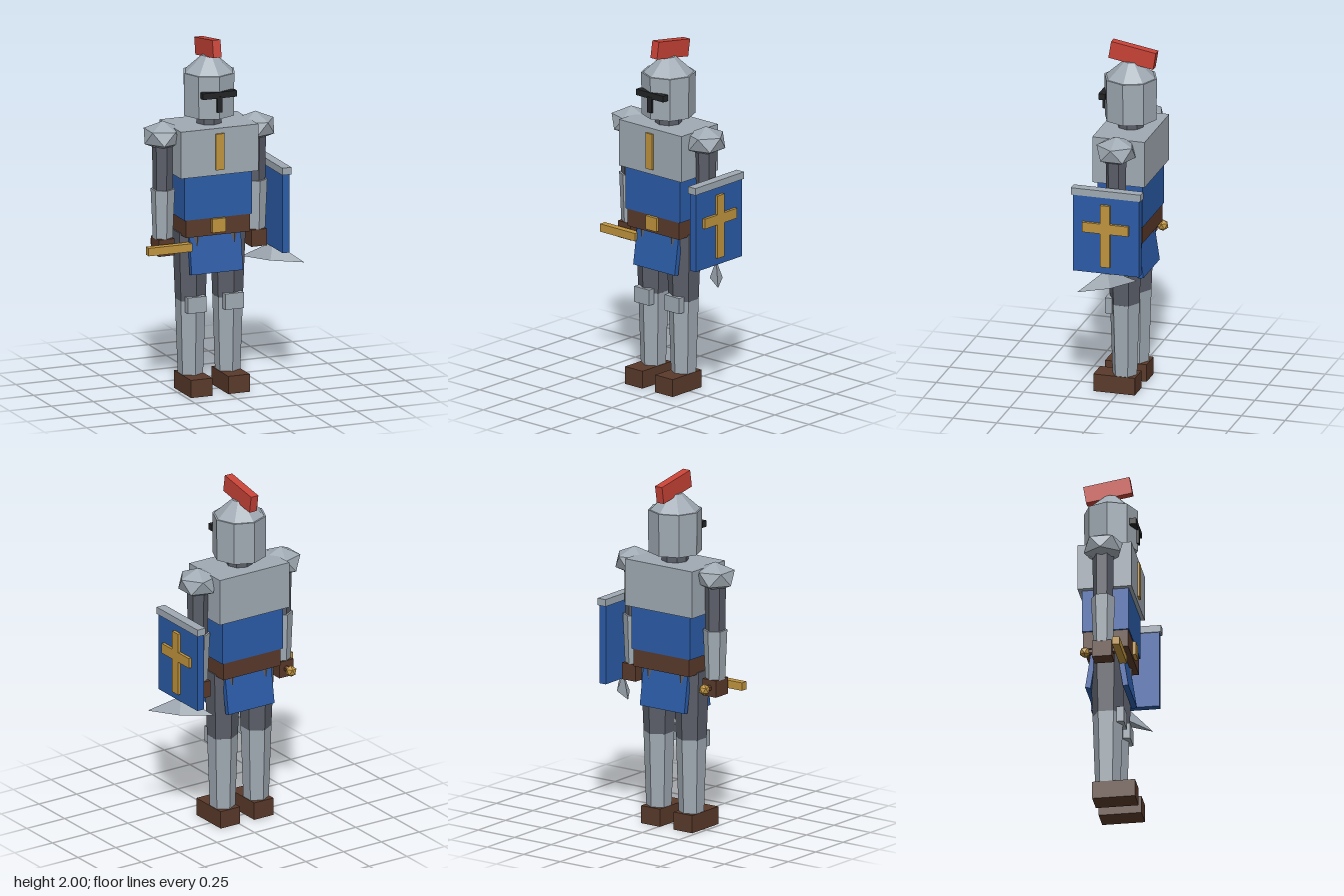
import * as THREE from 'three';

const mat = (name, color) => {
  const m = new THREE.MeshStandardMaterial({ color, flatShading: true });
  m.name = name;
  return m;
};

export function createModel() {
  const steel = mat('steel', 0xa0aab3);
  const darkSteel = mat('dark steel', 0x5a5e68);
  const blue = mat('blue cloth', 0x2b5ca8);
  const gold = mat('gold', 0xc0943e);
  const brown = mat('brown leather', 0x5a3a2b);
  const red = mat('red plume', 0xc84337);
  const black = mat('black slit', 0x222324);

  const model = new THREE.Group();
  model.name = 'knight';
  const CX = -0.053, CZ = -0.022; // axis of the body

  const add = (name, geometry, material, x, y, z) => {
    const mesh = new THREE.Mesh(geometry, material);
    mesh.name = name;
    mesh.position.set(x, y, z);
    model.add(mesh);
    return mesh;
  };
  const box = (name, material, w, h, d, x, y, z) =>
    add(name, new THREE.BoxGeometry(w, h, d), material, x, y, z);
  // Tapered prism between two heights
  const prism = (name, material, sides, rTop, rBottom, y0, y1, x, z = CZ) =>
    add(name, new THREE.CylinderGeometry(rTop, rBottom, y1 - y0, sides), material, x, (y0 + y1) / 2, z);
  // Icosahedron standing on one vertex
  const ball = (name, material, r, sy, x, y, z) => {
    const g = new THREE.IcosahedronGeometry(r, 0);
    g.rotateZ(-0.5536);
    g.scale(1, sy, 1);
    return add(name, g, material, x, y, z);
  };

  // Torso
  box('chestPlate', steel, 0.46, 0.265, 0.30, CX, 1.378, CZ);
  box('chestStripe', gold, 0.05, 0.205, 0.02, CX, 1.378, 0.13);
  box('tunic', blue, 0.40, 0.25, 0.26, CX, 1.125, CZ);
  box('belt', brown, 0.38, 0.10, 0.25, CX, 0.95, CZ);
  box('buckle', gold, 0.08, 0.078, 0.03, CX, 0.957, 0.107);
  for (const s of [1, -1]) {
    const flap = box(s > 0 ? 'frontFlap' : 'backFlap', blue, 0.305, 0.225, 0.03, CX, 0.793, CZ + s * 0.088);
    flap.rotation.x = -s * 0.15;
  }

  // Head
  prism('neck', darkSteel, 8, 0.074, 0.074, 1.50, 1.58, CX);
  prism('helmet', steel, 8, 0.15, 0.148, 1.56, 1.80, CX);
  prism('helmetCrown', steel, 8, 0.04, 0.14, 1.80, 1.89, CX);
  box('visorSlit', black, 0.20, 0.035, 0.038, CX, 1.698, 0.114);
  box('visorBreath', black, 0.03, 0.09, 0.03, CX, 1.645, 0.121);
  box('plume', red, 0.048, 0.098, 0.26, CX, 1.93, -0.037).rotation.x = -0.165;

  // Limbs, mirrored about the body axis
  for (const [side, s] of [['left', 1], ['right', -1]]) {
    const ax = CX + s * 0.275, lx = CX + s * 0.111;
    ball(side + 'Shoulder', steel, 0.12, 0.7, ax, 1.46, CZ);
    prism(side + 'UpperArm', darkSteel, 6, 0.06, 0.055, 1.14, 1.45, ax);
    prism(side + 'Forearm', steel, 6, 0.067, 0.055, 0.88, 1.16, ax);
    box(side + 'Hand', brown, 0.092, 0.095, 0.11, ax, 0.837, CZ);
    prism(side + 'Thigh', darkSteel, 6, 0.1, 0.084, 0.50, 0.91, lx);
    prism(side + 'Shin', steel, 6, 0.085, 0.07, 0.09, 0.52, lx);
    box(side + 'Knee', steel, 0.11, 0.09, 0.04, lx, 0.505, 0.055);
    box(side + 'Boot', brown, 0.128, 0.10, 0.238, lx, 0.05, 0.02);
  }

  // Sword hilt held in the right hand
  const hx = CX - 0.275;
  box('hiltGuard', gold, 0.26, 0.045, 0.04, hx, 0.838, 0.069);
  prism('hiltGrip', brown, 6, 0.018, 0.018, -0.085, 0.085, hx, -0.03).rotation.x = Math.PI / 2;
  model.children.at(-1).position.y = 0.838;
  ball('hiltPommel', gold, 0.033, 1, hx, 0.838, -0.122);

  // Shield on the left arm
  const sx = 0.317;
  box('shieldBoard', blue, 0.042, 0.45, 0.38, sx, 1.005, 0);
  box('shieldRim', steel, 0.054, 0.04, 0.40, sx, 1.245, 0);
  box('shieldCrossUpright', gold, 0.02, 0.36, 0.056, 0.346, 1.003, 0.002);
  box('shieldCrossBar', gold, 0.019, 0.057, 0.264, 0.346, 1.046, 0.001);
  const tip = add('shieldTip', new THREE.ConeGeometry(0.186, 0.10, 4), steel, sx + 0.001, 0.748, 0);
  tip.scale.x = 0.19;
  tip.rotation.y = Math.PI / 4;

  return model;
}
